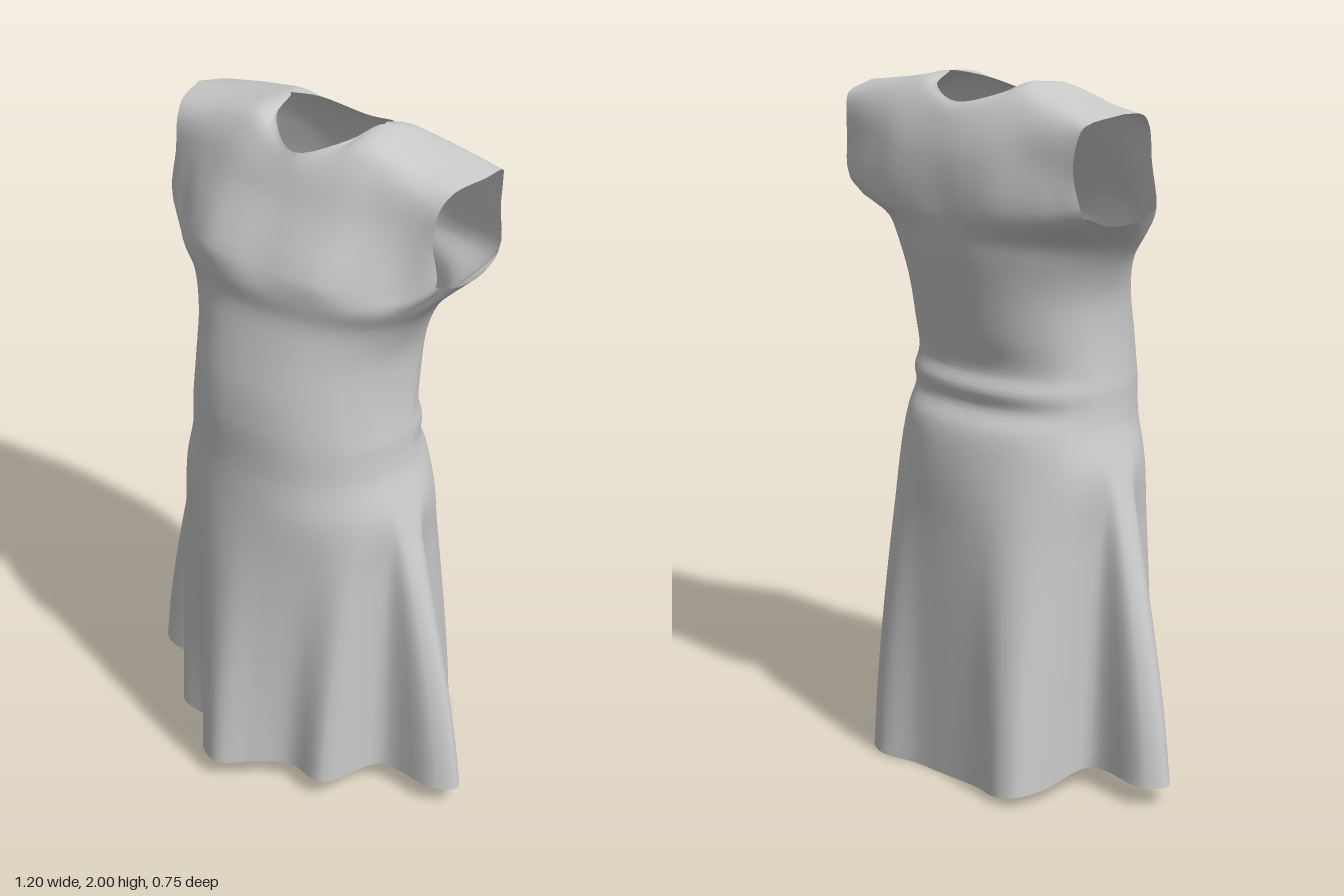
import * as THREE from 'three';

const V = (x, y, z) => new THREE.Vector3(x, y, z);
const { lerp, smoothstep } = THREE.MathUtils;
const HALF = 13, RING = 26, SUB = 5, COLS = RING * SUB, VSUB = 4;

// Hem outline [x, z], from front centre round by the left side and back again
const HEM = [
  [-0.02, 0.37], [0.06, 0.30], [0.15, 0.235], [0.28, 0.24], [0.355, 0.06], [0.54, 0.05], [0.598, 0],
  [0.54, -0.058], [0.355, -0.07], [0.33, -0.25], [0.3, -0.35], [0.23, -0.38], [0.12, -0.35], [0, -0.345],
  [-0.14, -0.35], [-0.26, -0.377], [-0.315, -0.35], [-0.335, -0.26], [-0.355, -0.1], [-0.55, -0.098],
  [-0.602, -0.045], [-0.55, 0.012], [-0.355, 0.04], [-0.31, 0.205], [-0.18, 0.235], [-0.1, 0.345]];

// Angles of the half ring at the hip (in half turns), gathered at the side folds
const HIP = [0, 0.1, 0.2, 0.31, 0.405, 0.435, 0.47, 0.505, 0.54, 0.65, 0.75, 0.83, 0.92, 1];

// Bodice rings from hip to bust: y, half width, front z, back z, squareness
const BODICE = [
  [0.92, 0.385, 0.284, -0.33, 0.97], [1.04, 0.35, 0.272, -0.308, 0.92], [1.1, 0.342, 0.27, -0.268, 0.9],
  [1.15, 0.34, 0.27, -0.278, 0.9], [1.2, 0.335, 0.268, -0.255, 0.9], [1.3, 0.33, 0.255, -0.28, 0.9],
  [1.42, 0.338, 0.225, -0.305, 0.9], [1.52, 0.378, 0.202, -0.327, 0.94], [1.59, 0.43, 0.204, -0.338, 0.96]];

// Half ring at the armpits [x, y, z]
const ARMPIT = [
  [0, 1.65, 0.185], [0.11, 1.65, 0.188], [0.2, 1.65, 0.175], [0.3, 1.65, 0.125], [0.39, 1.655, 0.065],
  [0.472, 1.675, 0.018], [0.484, 1.652, -0.06], [0.484, 1.65, -0.17], [0.47, 1.68, -0.258],
  [0.4, 1.665, -0.295], [0.31, 1.655, -0.32], [0.2, 1.65, -0.34], [0.1, 1.65, -0.345], [0, 1.65, -0.342]];

// Yoke rows above the armpits, centre to armhole edge [x, y, z]
const FRONT = [
  [[0, 1.8, 0.1], [0.1, 1.8, 0.1], [0.2, 1.8, 0.09], [0.3, 1.8, 0.06], [0.38, 1.8, 0.035], [0.455, 1.8, 0.015]],
  [[0, 1.88, 0.065], [0.1, 1.893, 0.055], [0.19, 1.915, 0.035], [0.28, 1.915, 0.018], [0.38, 1.905, 0.005], [0.462, 1.885, 0]],
  [[0, 1.912, 0.05], [0.11, 1.947, 0.015], [0.18, 1.98, -0.02], [0.27, 1.967, -0.03], [0.37, 1.945, -0.04], [0.478, 1.928, -0.04]],
  [[0, 1.932, 0.04], [0.128, 1.977, -0.04], [0.166, 2, -0.145], [0.27, 1.98, -0.145], [0.38, 1.962, -0.14], [0.505, 1.945, -0.14]]];
const BACK = [
  [[0, 1.8, -0.335], [0.1, 1.8, -0.335], [0.2, 1.8, -0.33], [0.3, 1.8, -0.31], [0.38, 1.8, -0.295], [0.455, 1.8, -0.28]],
  [[0, 1.89, -0.308], [0.11, 1.89, -0.303], [0.2, 1.905, -0.29], [0.29, 1.905, -0.285], [0.38, 1.9, -0.28], [0.465, 1.89, -0.272]],
  [[0, 1.925, -0.288], [0.125, 1.95, -0.262], [0.19, 1.98, -0.225], [0.28, 1.965, -0.235], [0.38, 1.947, -0.24], [0.475, 1.92, -0.255]],
  [[0, 1.94, -0.27], [0.13, 1.972, -0.225], [0.166, 2, -0.145], [0.27, 1.98, -0.145], [0.38, 1.962, -0.14], [0.505, 1.945, -0.14]]];

// Full ring from a half ring function k -> point
const mirrorRing = (half) => Array.from({ length: RING }, (_, k) => {
  const p = half(k <= HALF ? k : RING - k);
  if (k > HALF) p.x *= -1;
  return p;
});

const bodiceRing = ([y, w, front, back, power]) => mirrorRing((k) => {
  const a = lerp(HIP[k], k / HALF, smoothstep(y, 0.92, 1.6)) * Math.PI;
  const c = Math.cos(a), side = -0.04, reach = c > 0 ? front - side : side - back;
  return V(w * Math.pow(Math.abs(Math.sin(a)), power), y, side + Math.sign(c) * reach * Math.pow(Math.abs(c), power));
});

// Skirt ring: t = 0 at the hip, 1 at the hem, which dips at the back
const skirtRing = (hip, t) => hip.map((p, k) => {
  const [x, z] = HEM[k], flare = (t + Math.sin(t * Math.PI / 2)) / 2;
  const hemY = z > -0.12 ? 0.062 : 0.003 + 0.2 * x * x - 0.03 * x;
  return V(lerp(p.x, x, flare), lerp(p.y, hemY, t), lerp(p.z, z, flare));
});

// Spread a row of control points over many columns
const spread = (pts, closed, n) => {
  const curve = new THREE.CatmullRomCurve3(pts, closed);
  return Array.from({ length: n }, (_, i) => curve.getPoint(i / (closed ? n : n - 1)));
};
const panelRow = (row, dir) => spread(
  [...row.slice(1).reverse().map(([x, y, z]) => V(-dir * x, y, z)), ...row.map(([x, y, z]) => V(dir * x, y, z))],
  false, 10 * SUB + 1);

export function createModel() {
  const hip = bodiceRing(BODICE[0]);
  const skirtRows = [1, 0.8, 0.6, 0.4, 0.2].map((t) => skirtRing(hip, t));
  const rings = [...skirtRows, ...BODICE.map(bodiceRing), mirrorRing((k) => V(...ARMPIT[k]))]
    .map((r) => spread(r, true, COLS));
  const frontRows = FRONT.map((r) => panelRow(r, 1)), backRows = BACK.map((r) => panelRow(r, -1));

  // Where each column lies: front yoke, back yoke or under the arm
  const edge = 5 * SUB, backStart = 8 * SUB, backEnd = 18 * SUB, mid = HALF * SUB;
  const frontIndex = (c) => (c > mid ? c - COLS : c) + edge;
  const inFront = (c) => c <= edge || c >= COLS - edge;
  const inBack = (c) => c >= backStart && c <= backEnd;
  // Front column that a back column meets along the shoulder
  const partner = (c) => {
    const f = c <= mid ? mid - c : COLS + mid - c;
    return inBack(c) && Math.abs(c - mid) >= 2 * SUB ? f : -1;
  };

  const position = [], start = [];
  const armRow = (rings.length - 1) * VSUB, topRow = armRow + FRONT.length * VSUB;
  for (let c = 0; c < COLS; c++) {
    const pts = rings.map((r) => r[c]);
    if (inFront(c)) frontRows.forEach((r) => pts.push(r[frontIndex(c)]));
    if (inBack(c)) backRows.forEach((r, i) => {
      const f = i === backRows.length - 1 ? partner(c) : -1;
      pts.push(f < 0 ? r[c - backStart] : frontRows[i][frontIndex(f)]);
    });
    const curve = new THREE.CatmullRomCurve3(pts), n = (pts.length - 1) * VSUB;
    start.push(position.length / 3);
    for (let i = 0; i <= n; i++) position.push(...curve.getPoint(i / n).toArray());
  }

  // Shoulder seam shares the front panel's vertices
  const id = (c, r) => {
    const f = r === topRow ? partner(c) : -1;
    return start[f < 0 ? c : f] + r;
  };
  const parts = { skirt: [], bodice: [], frontYoke: [], backYoke: [] };
  const waistRow = (skirtRows.length + 1) * VSUB;
  for (let c = 0; c < COLS; c++) {
    const n = (c + 1) % COLS;
    for (let r = 0; r < topRow; r++) {
      let part = r < waistRow ? 'skirt' : 'bodice';
      if (r >= armRow) {
        if (inFront(c) && inFront(n)) part = 'frontYoke';
        else if (inBack(c) && inBack(n)) part = 'backYoke';
        else break;
      }
      const a = id(c, r), b = id(n, r), d = id(n, r + 1), e = id(c, r + 1);
      parts[part].push(a, b, d, a, d, e);
    }
  }

  // Normals are found over the whole garment, then it is cut into parts
  const whole = new THREE.BufferGeometry();
  whole.setAttribute('position', new THREE.Float32BufferAttribute(position, 3));
  whole.setIndex(Object.values(parts).flat());
  whole.computeVertexNormals();

  const material = new THREE.MeshStandardMaterial({ color: 0xcccccc, side: THREE.DoubleSide });
  const group = new THREE.Group();
  group.name = 'dress';
  for (const [name, index] of Object.entries(parts)) {
    const mesh = new THREE.Mesh(whole.clone().setIndex(index).toNonIndexed(), material);
    mesh.name = name;
    group.add(mesh);
  }
  return group;
}
